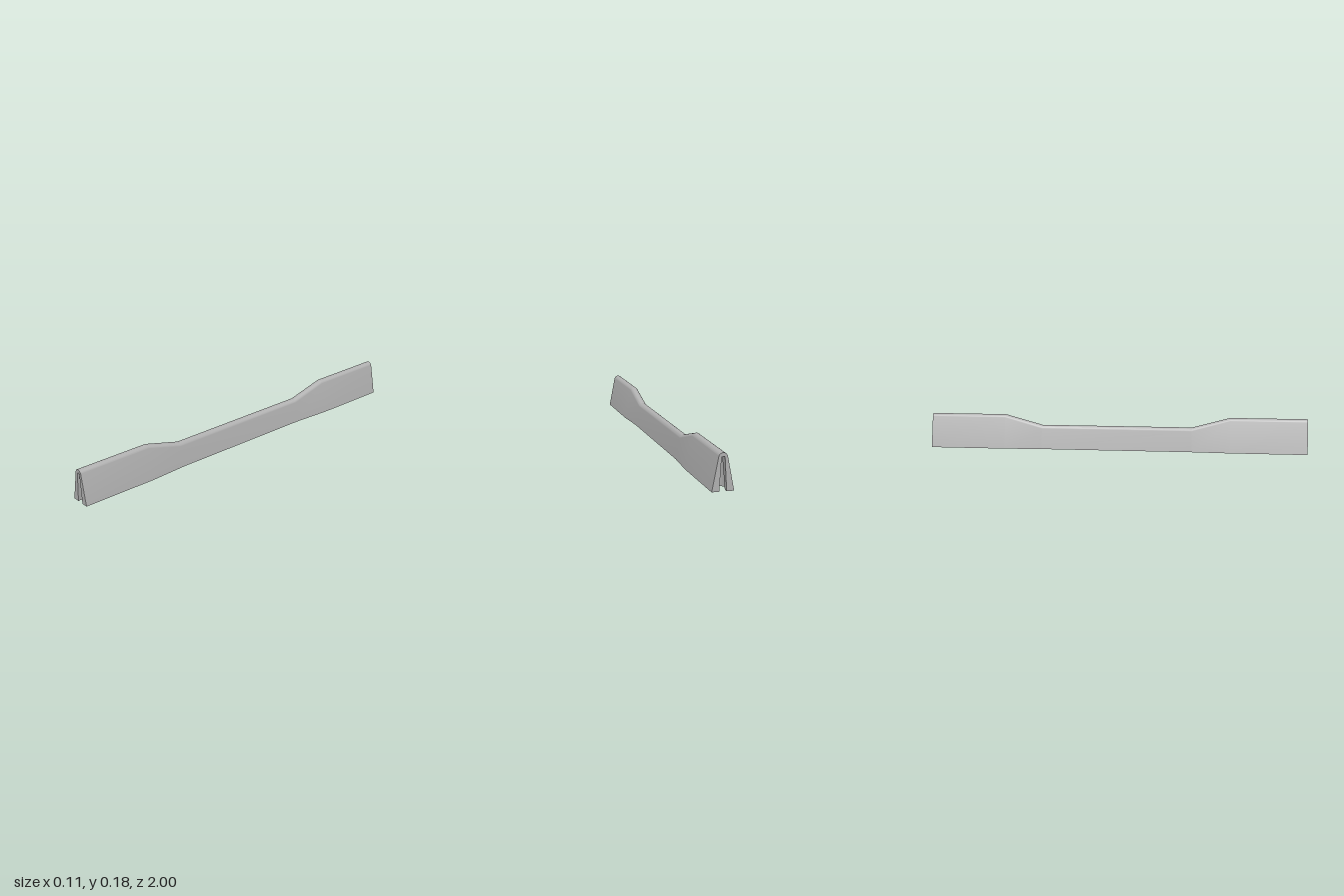
import * as THREE from 'three';
import { toCreasedNormals } from 'three/addons/utils/BufferGeometryUtils.js';

const CEILING = 0.16;             // top of the end pockets
const SLOT = [0.0175, 0.008];     // slot half width, bottom and top
const BORE = [0.035, 0.017];      // pocket radius, bottom and top
const BORE_Z = 0.945;

// Cross-section of the wall: sloped sides and a rounded crest
function profile(halfWidth, height, r = 0.022, lean = 0.19, steps = 20) {
  const pts = [[halfWidth, 0]];
  for (let i = 0; i <= steps; i++) {
    const a = lean + (Math.PI - 2 * lean) * i / steps;
    pts.push([r * Math.cos(a), height - r + r * Math.sin(a)]);
  }
  pts.push([-halfWidth, 0]);
  return pts;
}

// Keyhole outline in x, z, open towards the end of the wall
function keyhole(slot, r, steps = 32) {
  const gap = Math.asin(slot / r);
  const pts = [[-slot, 1]];
  for (let i = 0; i <= steps; i++) {
    const a = gap + (2 * Math.PI - 2 * gap) * i / steps;
    pts.push([-r * Math.sin(a), BORE_Z + r * Math.cos(a)]);
  }
  pts.push([slot, 1]);
  return pts;
}

// Skin between successive rings of points
function loft(rings, crease) {
  const pos = [];
  for (let i = 0; i < rings.length - 1; i++) {
    for (let j = 0; j < rings[i].length - 1; j++) {
      const a = rings[i][j], b = rings[i][j + 1];
      const c = rings[i + 1][j], d = rings[i + 1][j + 1];
      pos.push(...a, ...b, ...c, ...b, ...d, ...c);
    }
  }
  const g = new THREE.BufferGeometry();
  g.setAttribute('position', new THREE.Float32BufferAttribute(pos, 3));
  return toCreasedNormals(g, crease);
}

const flat = pts => new THREE.ShapeGeometry(
  new THREE.Shape(pts.map(([x, y]) => new THREE.Vector2(x, y))));

export function createModel() {
  const concrete = new THREE.MeshStandardMaterial({ color: 0xb0b0b0 });
  concrete.name = 'concrete grey';
  const model = new THREE.Group();
  model.name = 'barrier';
  const add = (parent, name, geometry) => {
    const mesh = new THREE.Mesh(geometry, concrete);
    mesh.name = name;
    parent.add(mesh);
  };

  // Wall: tall wide ends, lower and narrower middle
  const tall = profile(0.053, 0.179), low = profile(0.041, 0.125);
  const stations = [[-1, tall], [-0.6, tall], [-0.4, low], [0.4, low], [0.6, tall], [1, tall]];
  add(model, 'wall', loft(stations.map(([z, p]) => p.map(([x, y]) => [x, y, z])), 0.24));

  // Underside with a keyhole opening at each end
  const bottomKey = keyhole(SLOT[0], BORE[0]), topKey = keyhole(SLOT[1], BORE[1]);
  const half = [...bottomKey, [0.053, 1], [0.053, 0.6], [0.041, 0.4],
    [0.041, -0.4], [0.053, -0.6], [0.053, -1]];
  const outline = [...half, ...half.map(([x, z]) => [-x, -z])];
  add(model, 'underside', flat(outline).rotateX(Math.PI / 2));

  // Ends: slotted face and tapered connector pocket
  for (const [name, turn] of [['frontEnd', 0], ['backEnd', Math.PI]]) {
    const end = new THREE.Group();
    end.name = name;
    end.rotation.y = turn;
    add(end, 'endFace', flat([...tall, [-SLOT[0], 0], [-SLOT[1], CEILING],
      [SLOT[1], CEILING], [SLOT[0], 0]]).translate(0, 0, 1));
    add(end, 'pocketWall', loft([
      bottomKey.map(([x, z]) => [x, 0, z]),
      topKey.map(([x, z]) => [x, CEILING, z]),
    ], 0.4));
    add(end, 'pocketCeiling', flat(topKey).rotateX(Math.PI / 2).translate(0, CEILING, 0));
    model.add(end);
  }
  return model;
}
